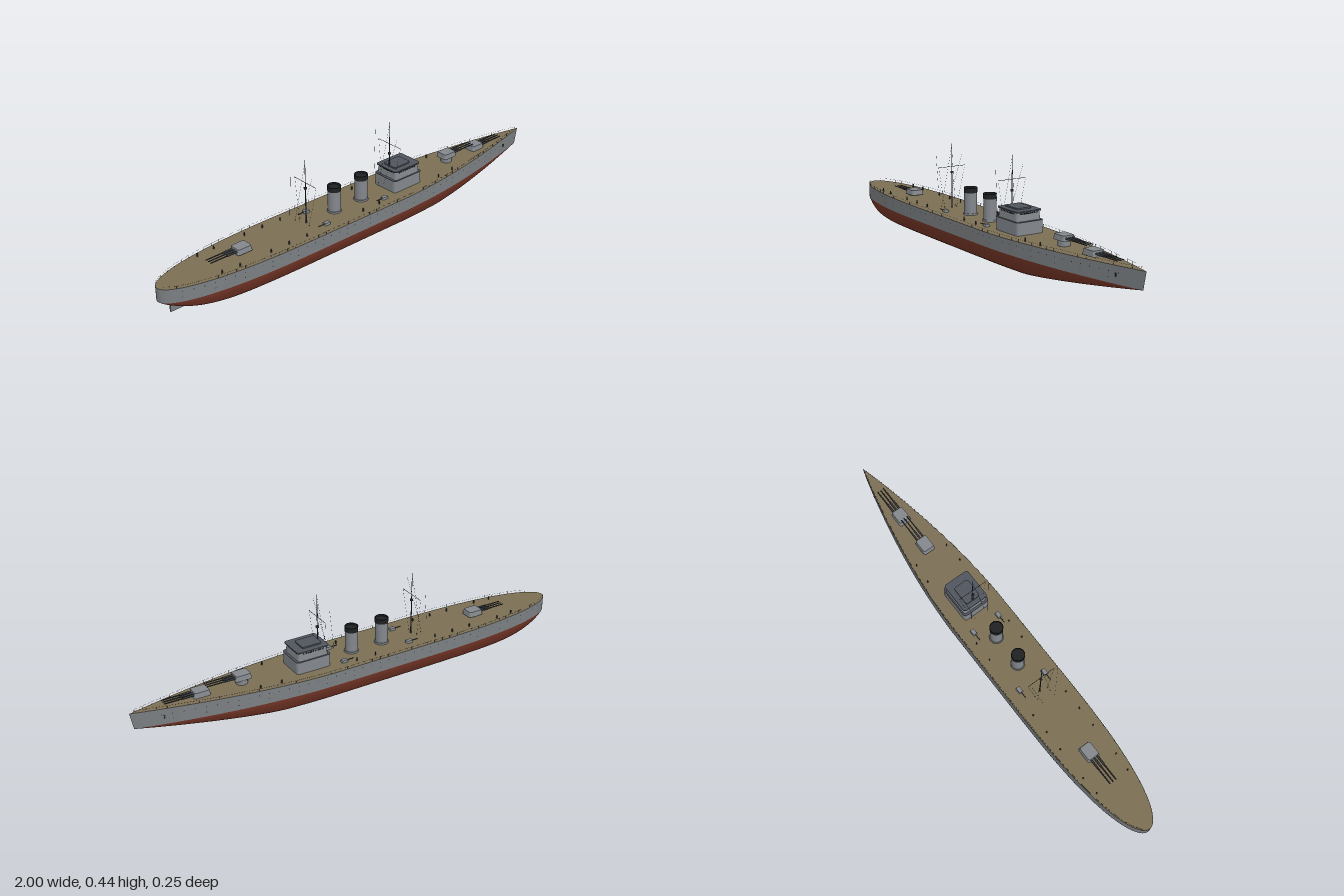
import * as THREE from 'three';
import { mergeGeometries } from 'three/addons/utils/BufferGeometryUtils.js';

const paint = (name, color, side = THREE.FrontSide) => {
  const m = new THREE.MeshStandardMaterial({ color, side });
  m.name = name;
  return m;
};

export function createModel() {
  const ship = new THREE.Group();
  ship.name = 'warship';
  const hullGrey = paint('hull grey', 0x7b7f82, THREE.DoubleSide);
  const red = paint('antifouling red', 0x743526, THREE.DoubleSide);
  const wood = paint('deck wood', 0x7b6e54);
  const grey = paint('superstructure grey', 0x83888d);
  const slate = paint('roof slate', 0x50555d);
  const dark = paint('gunmetal', 0x393c40);
  const black = paint('funnel black', 0x1f2123, THREE.DoubleSide);

  const add = (name, geo, mat, x = 0, y = 0, z = 0, parent = ship) => {
    const m = new THREE.Mesh(geo, mat);
    m.name = name;
    m.position.set(x, y, z);
    parent.add(m);
    return m;
  };
  const merged = (name, list, mat) => add(name, mergeGeometries(list), mat);

  // Hull lines: half breadth, keel height and deck height along the length
  const WL = 0.078, BOW = 0.985;
  const breadth = s => {
    if (s < -0.3) return 0.125 * Math.sqrt(Math.max(0, 1 - Math.pow((-0.3 - s) / 0.7, 2.6)));
    if (s > 0.15) return 0.125 * Math.max(0, 1 - Math.pow((s - 0.15) / (BOW - 0.15), 1.8));
    return 0.125;
  };
  const keel = s => {
    if (s < -0.6) return WL * Math.pow((-0.6 - s) / 0.4, 2.8);
    if (s > 0.38) return WL * Math.pow((s - 0.38) / (BOW - 0.38), 1.2);
    return 0;
  };
  const deckY = s => 0.138 + 0.012 * Math.pow(Math.max(0, (s - 0.2) / (BOW - 0.2)), 1.2);
  const rake = s => 0.014 * Math.max(0, (s - 0.6) / (BOW - 0.6));
  const station = t => (BOW - 1) / 2 - (BOW + 1) / 2 * Math.cos(Math.PI * t);

  // Surface through a grid of points
  const loft = (fn, nu, nv) => {
    const pos = [], idx = [];
    for (let i = 0; i <= nu; i++) for (let j = 0; j <= nv; j++) pos.push(...fn(station(i / nu), j));
    for (let i = 0; i < nu; i++) for (let j = 0; j < nv; j++) {
      const a = i * (nv + 1) + j, b = a + nv + 1;
      idx.push(a, a + 1, b, a + 1, b + 1, b);
    }
    const g = new THREE.BufferGeometry();
    g.setAttribute('position', new THREE.Float32BufferAttribute(pos, 3));
    g.setIndex(idx);
    g.computeVertexNormals();
    return g;
  };

  const half = [[1, 1], [0.985, 0.85], [0.96, 0.7], [0.88, 0.4], [0.8, 0.2], [0.7, 0.1], [0.5, 0.035], [0.25, 0.01]];
  const section = [...half, [0, 0], ...half.map(([f, g]) => [-f, g]).reverse()];
  add('lowerHull', loft((s, j) => {
    const [f, g] = section[j];
    return [s, keel(s) + (WL - keel(s)) * g, breadth(s) * f];
  }, 72, section.length - 1), red);
  for (const side of [1, -1]) {
    add(side > 0 ? 'topsideLeft' : 'topsideRight', loft((s, j) => {
      const up = side > 0 ? 1 - j / 2 : j / 2;
      return [s + rake(s) * up, WL + (deckY(s) - WL) * up, side * breadth(s)];
    }, 72, 2), hullGrey);
  }
  add('deck', loft((s, j) => [s + rake(s), deckY(s), (j - 1) * breadth(s)], 72, 2), wood);
  add('rudder', new THREE.BoxGeometry(0.07, 0.055, 0.006), hullGrey, -0.915, 0.0385);

  // Portholes, rail posts and rails follow the deck edge
  const ports = [], posts = [], rails = [];
  for (const side of [1, -1]) {
    for (let i = 0; i < 44; i++) {
      const s = -0.93 + i * 0.042;
      const slope = (breadth(s + 0.005) - breadth(s - 0.005)) / 0.01;
      for (const y of i % 3 ? [0.122] : [0.122, 0.099]) {
        const g = new THREE.CircleGeometry(0.002, 8);
        g.rotateY(side > 0 ? -Math.atan(slope) : Math.PI + Math.atan(slope));
        ports.push(g.translate(s + rake(s) * (y - WL) / (deckY(s) - WL), y, side * (breadth(s) + 0.0008)));
      }
    }
    const path = [];
    for (let i = 0; i <= 50; i++) {
      const s = -0.985 + i * 0.039;
      const p = new THREE.Vector3(s + rake(s), deckY(s) + 0.011, side * (breadth(s) - 0.002));
      path.push(p);
      posts.push(new THREE.CylinderGeometry(0.0005, 0.0005, 0.011, 5).translate(p.x, p.y - 0.0055, p.z));
    }
    rails.push(new THREE.TubeGeometry(new THREE.CatmullRomCurve3(path), 100, 0.0003, 4));
    // Anchor on each bow
    add('anchor', new THREE.BoxGeometry(0.006, 0.014, 0.005), dark, 0.87, 0.113, side * breadth(0.865));
  }
  merged('portholes', ports, black);
  merged('railPosts', posts, dark);
  merged('rails', rails, dark);

  // Upright block with rounded corners, tapering towards its top
  const block = (w, h, d, r, taper = 1) => {
    const x = w / 2, z = d / 2, sh = new THREE.Shape();
    sh.moveTo(-x + r, -z).lineTo(x - r, -z).quadraticCurveTo(x, -z, x, -z + r);
    sh.lineTo(x, z - r).quadraticCurveTo(x, z, x - r, z);
    sh.lineTo(-x + r, z).quadraticCurveTo(-x, z, -x, z - r);
    sh.lineTo(-x, -z + r).quadraticCurveTo(-x, -z, -x + r, -z);
    const g = new THREE.ExtrudeGeometry(sh, { depth: h, bevelEnabled: false, curveSegments: 4 });
    g.rotateX(-Math.PI / 2);
    const p = g.attributes.position;
    for (let i = 0; i < p.count; i++) {
      if (p.getY(i) > h / 2) p.setXYZ(i, p.getX(i) * taper, p.getY(i), p.getZ(i) * taper);
    }
    g.computeVertexNormals();
    return g;
  };

  // Bridge in two tiers with a row of windows under the roof
  const bridge = new THREE.Group();
  bridge.name = 'bridge';
  bridge.position.x = 0.228;
  ship.add(bridge);
  add('lowerTier', block(0.156, 0.054, 0.126, 0.014), grey, 0, 0.136, 0, bridge);
  add('tierLedge', block(0.158, 0.003, 0.128, 0.014), slate, 0, 0.19, 0, bridge);
  add('upperTier', block(0.138, 0.036, 0.118, 0.014, 0.94), grey, 0, 0.193, 0, bridge);
  add('roof', block(0.146, 0.005, 0.12, 0.014), slate, 0, 0.229, 0, bridge);
  add('roofHatch', block(0.09, 0.006, 0.07, 0.01), slate, -0.008, 0.234, 0, bridge);
  for (let i = -4; i <= 4; i++) {
    for (const e of [1, -1]) {
      add('window', new THREE.BoxGeometry(0.004, 0.005, 0.007), black, e * 0.0646, 0.223, i * 0.0095, bridge);
      add('window', new THREE.BoxGeometry(0.007, 0.005, 0.004), black, i * 0.011, 0.223, e * 0.0551, bridge);
    }
  }

  // Funnels with open black caps
  for (const x of [-0.133, 0.015]) {
    const f = new THREE.Group();
    f.name = 'funnel';
    f.position.x = x;
    ship.add(f);
    add('funnelBase', new THREE.CylinderGeometry(0.03, 0.031, 0.008, 24), grey, 0, 0.141, 0, f);
    add('funnelBody', new THREE.CylinderGeometry(0.027, 0.027, 0.1, 24), grey, 0, 0.187, 0, f);
    add('funnelCap', new THREE.CylinderGeometry(0.0285, 0.0285, 0.02, 24, 1, true), black, 0, 0.243, 0, f);
    add('funnelRim', new THREE.TorusGeometry(0.0275, 0.0015, 6, 24).rotateX(Math.PI / 2), black, 0, 0.253, 0, f);
    add('funnelMouth', new THREE.CircleGeometry(0.0275, 24).rotateX(-Math.PI / 2), black, 0, 0.245, 0, f);
  }

  // Triple-gun turrets; dir is the way the guns point
  const turret = (x, y, dir) => {
    const t = new THREE.Group();
    t.name = 'turret';
    t.position.set(x, y, 0);
    ship.add(t);
    add('barbette', new THREE.CylinderGeometry(0.025, 0.025, y - 0.134, 20), grey, 0, (0.134 - y) / 2, 0, t);
    add('gunHouse', block(0.072, 0.022, 0.058, 0.01, 0.88), grey, 0, 0, 0, t);
    for (const z of [-0.015, 0, 0.015]) {
      const turn = -dir * Math.PI / 2;
      add('barrel', new THREE.CylinderGeometry(0.0022, 0.003, 0.125, 8).rotateZ(turn), dark, dir * 0.093, 0.012, z, t);
      add('barrelSleeve', new THREE.CylinderGeometry(0.0038, 0.0045, 0.05, 8).rotateZ(turn), dark, dir * 0.055, 0.012, z, t);
    }
  };
  turret(-0.61, 0.142, -1);
  turret(0.525, 0.165, 1);
  turret(0.705, 0.146, 1);

  // Small side guns
  for (const x of [0.088, -0.23]) for (const z of [0.065, -0.065]) {
    add('sideGunHouse', block(0.03, 0.011, 0.02, 0.005, 0.85), grey, x, 0.137, z);
    add('sideGunBarrel', new THREE.CylinderGeometry(0.0015, 0.0015, 0.035, 6).rotateZ(Math.PI / 2), dark, x - 0.025, 0.143, z);
  }

  // Deck vents and bollards
  for (const x of [-0.76, -0.68, -0.53, -0.44, -0.35, -0.05, 0.04, 0.39, 0.48]) for (const e of [1, -1]) {
    const z = e * Math.min(0.085, breadth(x) - 0.022);
    add('vent', new THREE.CylinderGeometry(0.0025, 0.003, 0.015, 8), dark, x, deckY(x) + 0.007, z);
  }

  // Masts with yard, lookout and rigging
  const wire = (a, b) => new THREE.TubeGeometry(new THREE.LineCurve3(new THREE.Vector3(...a), new THREE.Vector3(...b)), 1, 0.0004, 4);
  const wires = [];
  for (const [x, top] of [[-0.283, 0.42], [0.176, 0.44]]) {
    add('mast', new THREE.CylinderGeometry(0.001, 0.003, top - 0.136, 8), dark, x, (top + 0.136) / 2);
    add('yard', new THREE.CylinderGeometry(0.001, 0.001, 0.132, 6).rotateX(Math.PI / 2), dark, x, top - 0.1);
    add('lookout', new THREE.BoxGeometry(0.01, 0.009, 0.009), dark, x, 0.295);
    for (const e of [1, -1]) {
      wires.push(wire([x - 0.02, top - 0.05, e * 0.066], [x - 0.06, 0.18, e * 0.03]));
      wires.push(wire([x, top - 0.1, e * 0.066], [x - 0.01, 0.138, e * 0.03]));
      wires.push(wire([x, top - 0.01, 0], [x - 0.03, 0.138, e * 0.035]));
    }
  }
  merged('rigging', wires, dark);
  return ship;
}
